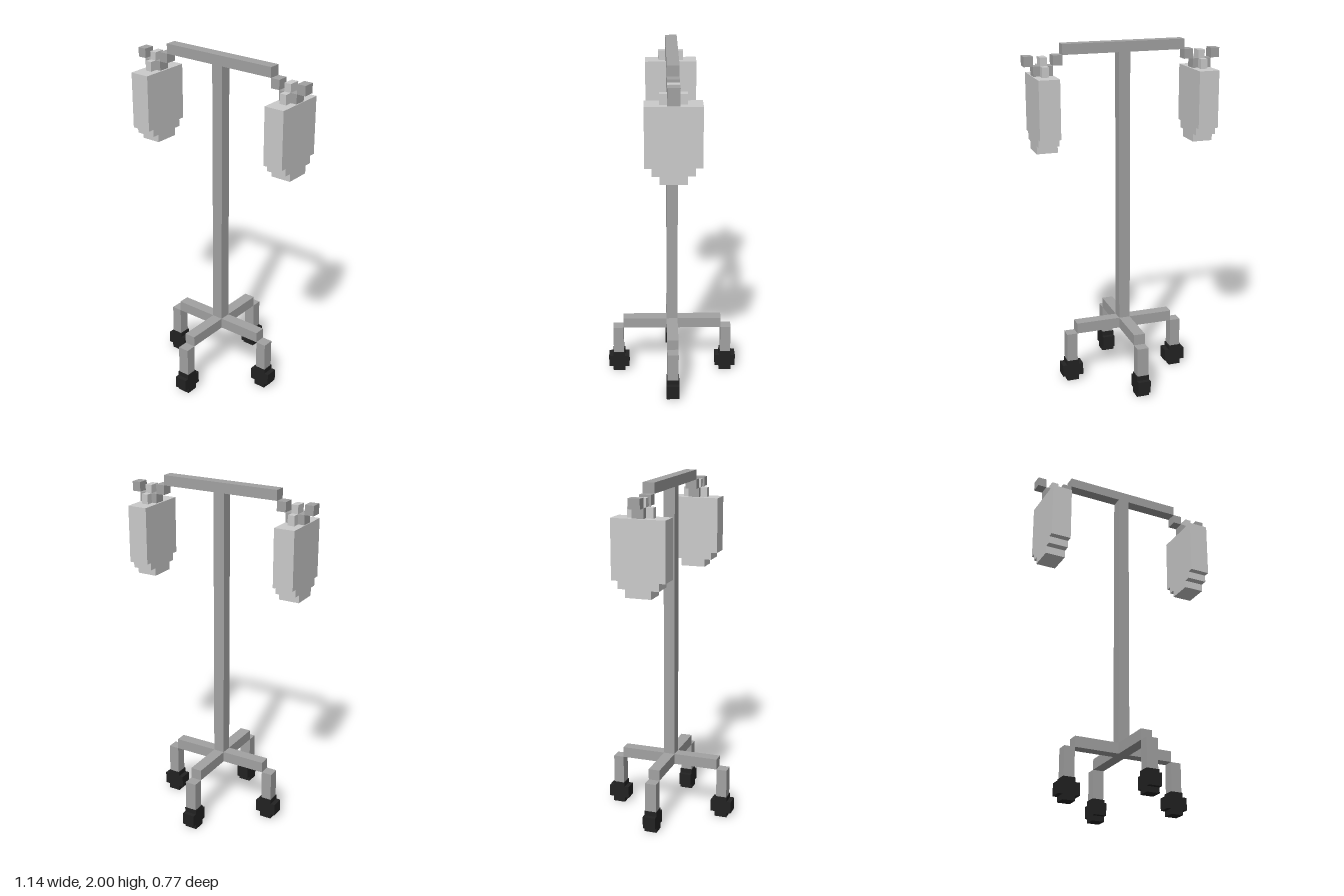
import * as THREE from 'three';

const metal = new THREE.MeshStandardMaterial({ color: 0xa2a2a2, flatShading: true });
const bagGrey = new THREE.MeshStandardMaterial({ color: 0xcccccc, flatShading: true });
const rubber = new THREE.MeshStandardMaterial({ color: 0x222222, flatShading: true });

const T = 0.033; // half thickness of the square tubing

// Box given by its limits on each axis
function box(name, material, [x0, x1], [y0, y1], [z0, z1]) {
  const mesh = new THREE.Mesh(new THREE.BoxGeometry(x1 - x0, y1 - y0, z1 - z0), material);
  mesh.position.set((x0 + x1) / 2, (y0 + y1) / 2, (z0 + z1) / 2);
  mesh.name = name;
  return mesh;
}

// Prism along z, centred on z = 0, from a symmetric half outline (u, v) listed bottom to top
function steppedPrism(name, material, half, depth) {
  const left = half.map(([u, v]) => [-u, v]).reverse();
  const shape = new THREE.Shape([...half, ...left].map(([u, v]) => new THREE.Vector2(u, v)));
  const geometry = new THREE.ExtrudeGeometry(shape, { depth, bevelEnabled: false });
  geometry.translate(0, 0, -depth / 2);
  const mesh = new THREE.Mesh(geometry, material);
  mesh.name = name;
  return mesh;
}

// One arm of the base with its leg and caster, pointing along +x
function createBaseArm() {
  const arm = new THREE.Group();
  arm.name = 'baseArm';
  arm.add(box('armBar', metal, [T, 0.295], [0.297, 0.36], [-T, T]));
  arm.add(box('leg', metal, [0.295, 0.357], [0.09, 0.297], [-T, T]));
  const wheel = steppedPrism('wheel', rubber, [
    [0.036, 0], [0.036, 0.03], [0.062, 0.03], [0.062, 0.101], [0.036, 0.101], [0.036, 0.127],
  ], 0.074);
  wheel.position.x = 0.325;
  arm.add(wheel);
  return arm;
}

// Hook at the end of the top bar with its hanging bag, on the +x side
function createHangingSide() {
  const side = new THREE.Group();
  side.name = 'hangingSide';
  // Stepped hook
  side.add(box('hookInner', metal, [0.355, 0.408], [1.887, 1.942], [-T, T]));
  side.add(box('hookBottom', metal, [0.408, 0.518], [1.833, 1.887], [-T, T]));
  side.add(box('hookTip', metal, [0.518, 0.569], [1.887, 1.942], [-T, T]));
  // Loop of the bag over the hook
  side.add(box('loopTop', bagGrey, [0.441, 0.48], [1.887, 1.934], [-T, T]));
  for (const s of [-1, 1]) {
    const post = box('loopPost', bagGrey, [0.441, 0.48], [1.83, 1.887], [T, 0.073]);
    post.position.z *= s;
    side.add(post);
  }
  // Bag with stepped lower end
  const bag = steppedPrism('bag', bagGrey, [
    [0.073, 1.415], [0.073, 1.46], [0.115, 1.46], [0.115, 1.503], [0.151, 1.503], [0.151, 1.831],
  ], 0.118);
  bag.rotation.y = Math.PI / 2;
  bag.position.x = 0.461;
  side.add(bag);
  return side;
}

export function createModel() {
  const model = new THREE.Group();
  model.name = 'dripStand';

  model.add(box('pole', metal, [-T, T], [0.297, 1.942], [-T, T]));
  model.add(box('topBar', metal, [-0.355, 0.355], [1.942, 2], [-T, T]));

  for (let i = 0; i < 4; i++) {
    const arm = createBaseArm();
    arm.rotation.y = (i * Math.PI) / 2;
    model.add(arm);
  }
  for (let i = 0; i < 2; i++) {
    const side = createHangingSide();
    side.rotation.y = i * Math.PI;
    model.add(side);
  }
  return model;
}
